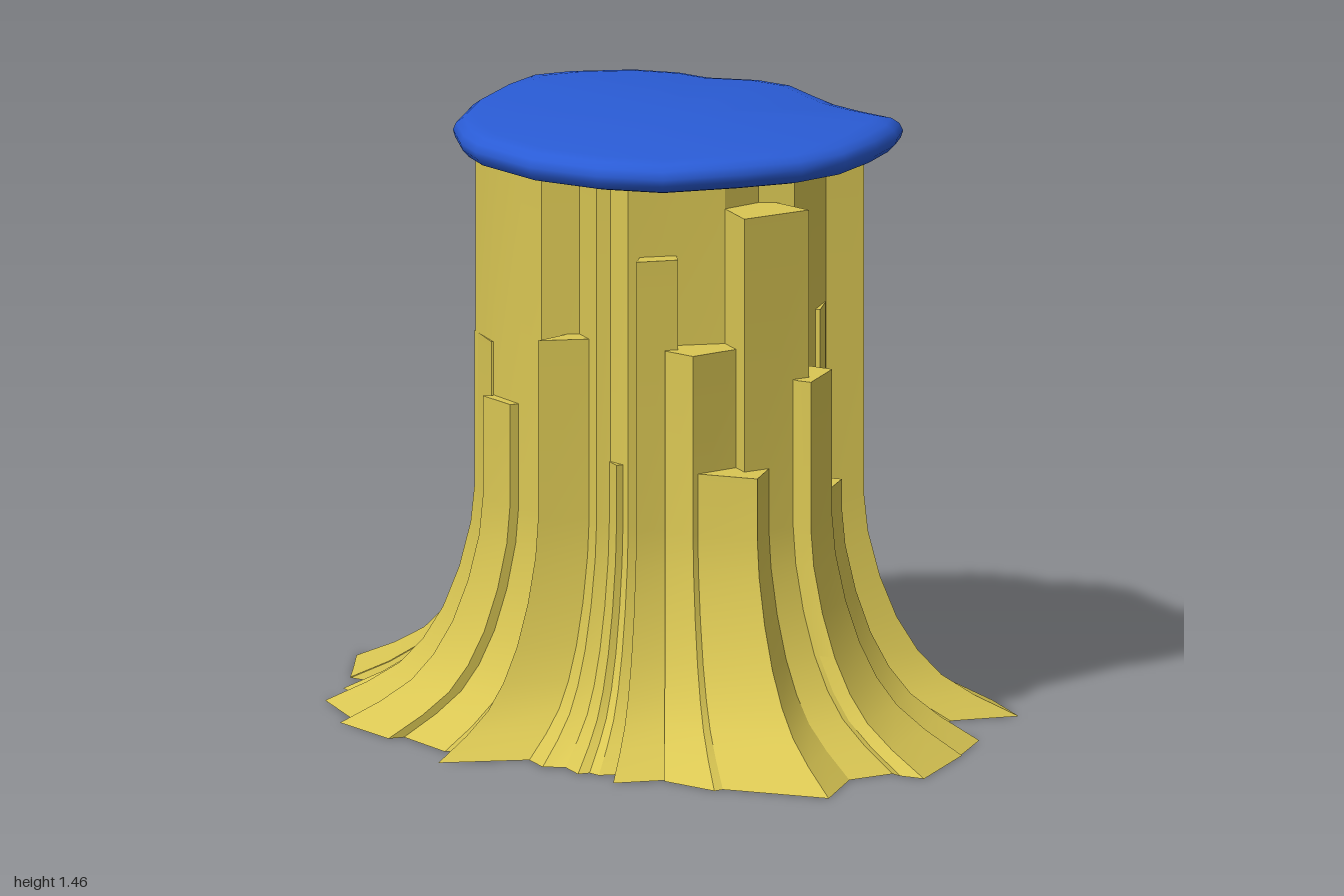
import * as THREE from 'three';
import { toCreasedNormals } from 'three/addons/utils/BufferGeometryUtils.js';

// Foot flare: [height, sideways scale of the trunk outline]
const FLARE = [[0, 1.78], [0.05, 1.56], [0.1, 1.39], [0.16, 1.27], [0.24, 1.165],
  [0.34, 1.08], [0.45, 1.02], [0.54, 1]];

// Levels from the ground up to a column's top
function flareTo(top) {
  const levels = FLARE.filter(([y]) => y < top - 0.01);
  return [...levels, [top, top < 0.54 ? 1.015 : 1]];
}

// Closed solid: an [x, z] outline scaled at each [y, scale] level
function loft(outline, levels, crease) {
  const n = outline.length;
  let area = 0, cx = 0, cz = 0;
  outline.forEach(([x, z], i) => {
    const [x2, z2] = outline[(i + 1) % n];
    area += x * z2 - x2 * z;
    cx += x / n;
    cz += z / n;
  });
  const pts = area > 0 ? outline : [...outline].reverse();
  const pos = [];
  const at = (i, [y, s]) => [pts[i % n][0] * s, y, pts[i % n][1] * s];
  const mid = ([y, s]) => [cx * s, y, cz * s];
  const tri = (a, b, c) => pos.push(...a, ...b, ...c);
  const low = levels[0], high = levels[levels.length - 1];
  for (let i = 0; i < n; i++) {
    for (let k = 0; k + 1 < levels.length; k++) {
      const a = at(i, levels[k]), b = at(i + 1, levels[k]);
      const c = at(i, levels[k + 1]), d = at(i + 1, levels[k + 1]);
      tri(a, c, b);
      tri(b, c, d);
    }
    tri(mid(low), at(i, low), at(i + 1, low));
    tri(mid(high), at(i + 1, high), at(i, high));
  }
  const geo = new THREE.BufferGeometry();
  geo.setAttribute('position', new THREE.Float32BufferAttribute(pos, 3));
  return toCreasedNormals(geo, crease);
}

// Jagged full-height trunk outline
const CORE = [
  [-0.23, 0.31], [-0.13, 0.33], [0, 0.36], [0.1, 0.33], [0.18, 0.36], [0.25, 0.3], [0.29, 0.25],
  [0.33, 0.2], [0.425, 0.21], [0.43, 0.11], [0.345, 0.09], [0.36, 0], [0.38, -0.08], [0.36, -0.2],
  [0.32, -0.26], [0.25, -0.28], [0.26, -0.35], [0.2, -0.38], [0.15, -0.43], [0.06, -0.42],
  [-0.01, -0.48], [-0.05, -0.49], [-0.075, -0.43], [-0.12, -0.46], [-0.135, -0.45], [-0.17, -0.478],
  [-0.2, -0.44], [-0.25, -0.47], [-0.31, -0.35], [-0.28, -0.3], [-0.33, -0.28], [-0.34, -0.22],
  [-0.395, -0.23], [-0.4, -0.11], [-0.38, 0.01], [-0.365, 0.1], [-0.28, 0.13], [-0.28, 0.235],
  [-0.25, 0.25],
];

// Shorter columns: top height, then outer corners measured on the ground
const COLUMNS = [
  // front
  [0.98, [-0.71, 0.28], [-0.49, 0.34]],
  [0.69, [-0.45, 0.44], [-0.45, 0.52], [-0.4, 0.52]],
  [1.2, [-0.41, 0.64], [-0.23, 0.67]],
  [0.98, [-0.29, 0.67], [-0.22, 0.81], [0, 0.76]],
  [0.69, [-0.2, 0.8], [0, 0.99], [0.13, 0.82]],
  [1.31, [0, 0.85], [0.32, 0.8]],
  [0.9, [0.25, 0.84], [0.29, 0.89], [0.47, 0.7]],
  [0.61, [0.45, 0.72], [0.57, 0.57], [0.5, 0.5]],
  [1.02, [0.5, 0.5], [0.58, 0.37]],
  // left
  [1.24, [0.72, 0.11], [0.69, -0.16]],
  [0.61, [0.74, -0.04], [0.69, -0.17]],
  [1, [0.64, -0.17], [0.7, -0.25], [0.61, -0.34]],
  [1.3, [0.61, -0.45], [0.46, -0.47]],
  // back
  [1.07, [0.48, -0.56], [0.4, -0.62]],
  [0.78, [0.43, -0.74], [0.27, -0.84]],
  [1.07, [0.27, -0.84], [0.23, -0.76], [0.14, -0.78]],
  [0.465, [0.17, -0.9], [0.02, -1.0]],
  [1.15, [-0.3, -0.85], [-0.24, -0.8]],
  [1.2, [-0.44, -0.84], [-0.55, -0.63]],
  // right
  [1.12, [-0.5, -0.53], [-0.61, -0.53], [-0.61, -0.4]],
  [0.92, [-0.7, -0.43], [-0.72, -0.2]],
  [0.79, [-0.76, -0.2], [-0.72, 0]],
];

// Wavy rim of the flat top
const RIM = [
  [-0.1, -0.6], [0, -0.6], [0.15, -0.555], [0.24, -0.48], [0.285, -0.4], [0.39, -0.325],
  [0.44, -0.24], [0.45, -0.1], [0.46, 0], [0.49, 0.09], [0.535, 0.19], [0.49, 0.26], [0.4, 0.35],
  [0.28, 0.44], [0.15, 0.48], [0, 0.475], [-0.2, 0.45], [-0.33, 0.35], [-0.44, 0.2], [-0.495, 0],
  [-0.49, -0.1], [-0.45, -0.24], [-0.335, -0.4], [-0.2, -0.53],
];

export function createModel() {
  const group = new THREE.Group();
  group.name = 'rockTower';
  const rock = new THREE.MeshStandardMaterial({ color: 0xd9c653 });
  const blue = new THREE.MeshStandardMaterial({ color: 0x2a5cd6 });
  const add = (name, geometry, material) => {
    const mesh = new THREE.Mesh(geometry, material);
    mesh.name = name;
    group.add(mesh);
  };

  // Trunk and the wedge columns that stand out from it
  add('trunk', loft(CORE, flareTo(1.4), 0.45), rock);
  COLUMNS.forEach(([top, ...corners], i) => {
    const outline = [[0, 0], ...corners.map(([x, z]) => [x / 1.78, z / 1.78])];
    add(`column${i + 1}`, loft(outline, flareTo(top), 0.45), rock);
  });

  // Flat cap with a rounded edge
  const edge = [[1.375, 0.9], [1.383, 0.96], [1.4, 0.99], [1.417, 1], [1.435, 0.985],
    [1.448, 0.95], [1.455, 0.88]];
  add('cap', loft(RIM, edge, 0.9), blue);

  return group;
}
